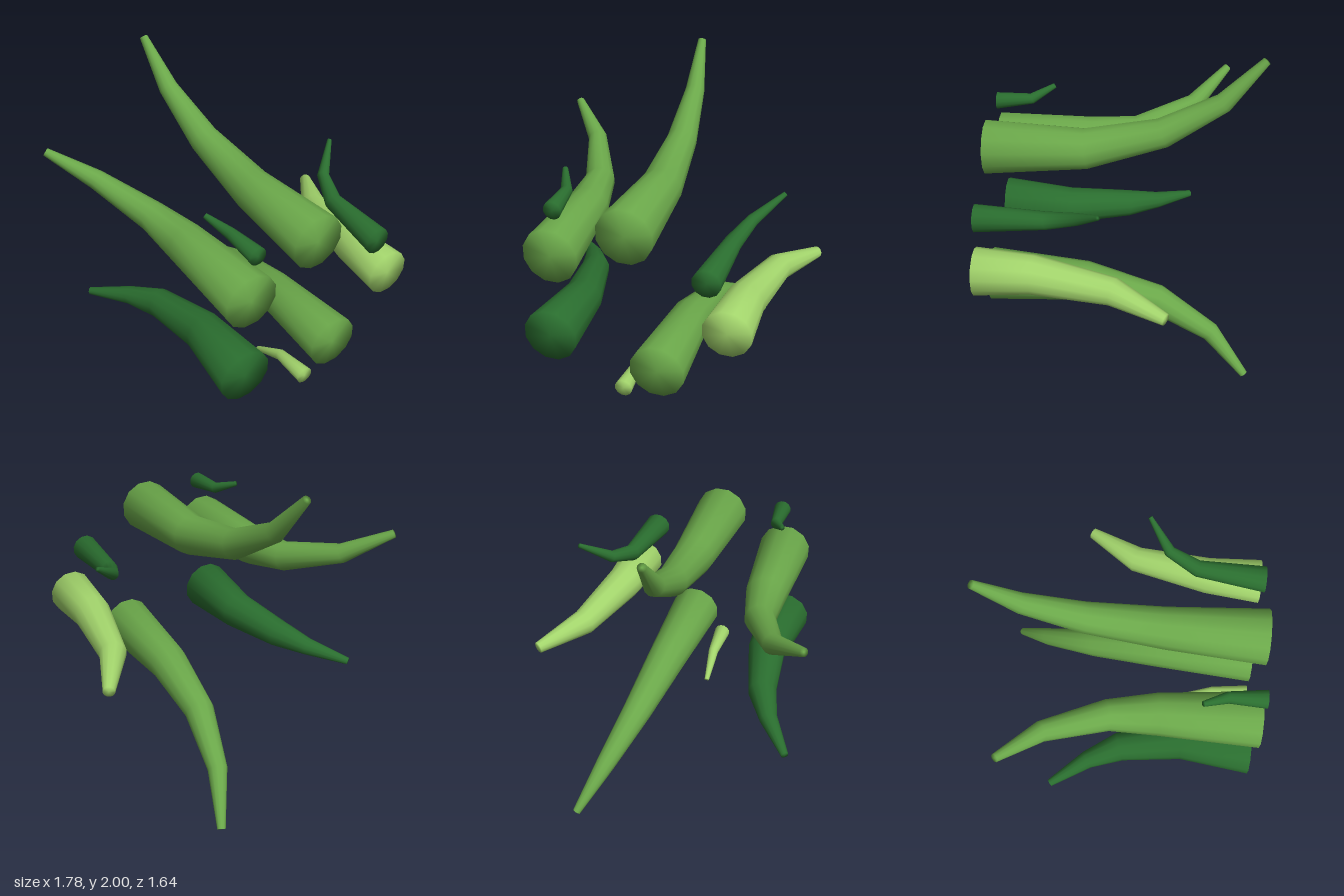
import * as THREE from 'three';

const SIDES = 12;

// Tapered tendril: rings [x, y, z, radius] from the flat base (facing +z) to the tip.
function tendrilGeometry(rings) {
  const pts = rings.map(r => new THREE.Vector3(r[0], r[1], r[2]));
  const pos = [], index = [];
  const back = new THREE.Vector3(0, 0, -1);
  const last = rings.length - 1;
  rings.forEach((ring, i) => {
    const dir = back.clone();
    if (i > 0) {
      dir.subVectors(pts[i], pts[i - 1]).normalize();
      if (i < last) dir.add(pts[i + 1].clone().sub(pts[i]).normalize()).normalize();
    }
    const turn = new THREE.Quaternion().setFromUnitVectors(back, dir);
    for (let j = 0; j < SIDES; j++) {
      const a = ((j + 0.5) / SIDES) * Math.PI * 2;
      const v = new THREE.Vector3(Math.cos(a), Math.sin(a), 0).multiplyScalar(ring[3]);
      v.applyQuaternion(turn).add(pts[i]);
      pos.push(v.x, v.y, v.z);
    }
  });
  // Cap centres share the rim vertices, so the ends shade softly
  const base = pos.length / 3, tip = base + 1;
  pos.push(...pts[0].toArray(), ...pts[last].toArray());
  for (let j = 0; j < SIDES; j++) {
    const k = (j + 1) % SIDES;
    for (let i = 0; i < last; i++) {
      const a = i * SIDES + j, b = i * SIDES + k;
      const c = a + SIDES, d = b + SIDES;
      index.push(a, c, b, b, c, d);
    }
    index.push(base, j, k);
    index.push(tip, last * SIDES + k, last * SIDES + j);
  }
  const geo = new THREE.BufferGeometry();
  geo.setAttribute('position', new THREE.Float32BufferAttribute(pos, 3));
  geo.setIndex(index);
  geo.computeVertexNormals();
  return geo;
}

export function createModel() {
  const group = new THREE.Group();
  group.name = 'tendrils';
  const material = (name, color) => {
    const m = new THREE.MeshStandardMaterial({ color });
    m.name = name;
    return m;
  };
  const mid = material('leafGreen', 0x6ba84a);
  const dark = material('darkGreen', 0x2a6e2f);
  const light = material('lightGreen', 0xa3d56c);

  const tendrils = [
    // Large tendrils
    ['topTendril', mid, [[0, 1.398, 0.82, 0.165], [0, 1.41, 0.22, 0.125],
      [-0.02, 1.525, -0.235, 0.092], [-0.045, 1.725, -0.58, 0.06], [-0.07, 1.985, -0.805, 0.025]]],
    ['lowerTendril', mid, [[0.175, 0.56, 0.82, 0.165], [0.188, 0.542, 0.22, 0.125],
      [0.228, 0.447, -0.235, 0.092], [0.315, 0.267, -0.58, 0.06], [0.43, 0.022, -0.805, 0.025]]],
    ['upperRightTendril', mid, [[-0.44, 1.2, 0.82, 0.165], [-0.465, 1.222, 0.22, 0.125],
      [-0.505, 1.255, -0.07, 0.092], [-0.665, 1.378, -0.425, 0.06], [-0.872, 1.538, -0.635, 0.025]]],
    ['lowerRightTendril', dark, [[-0.475, 0.663, 0.82, 0.165], [-0.462, 0.66, 0.38, 0.122],
      [-0.535, 0.645, 0, 0.09], [-0.63, 0.613, -0.2, 0.056], [-0.79, 0.567, -0.425, 0.023]]],
    // Medium tendrils
    ['leftTendril', light, [[0.575, 0.907, 0.82, 0.142], [0.587, 0.91, 0.48, 0.117],
      [0.677, 0.885, 0.01, 0.083], [0.858, 0.855, -0.295, 0.036]]],
    ['upperLeftTendril', dark, [[0.455, 1.2, 0.82, 0.082], [0.483, 1.223, 0.4, 0.053],
      [0.55, 1.29, 0.22, 0.037], [0.705, 1.42, 0.085, 0.014]]],
    // Small sprouts
    ['upperSprout', dark, [[-0.405, 1.49, 0.82, 0.053], [-0.418, 1.505, 0.6, 0.034],
      [-0.485, 1.567, 0.46, 0.016]]],
    ['lowerSprout', light, [[-0.03, 0.395, 0.82, 0.053], [-0.034, 0.384, 0.59, 0.034],
      [-0.05, 0.285, 0.39, 0.016]]],
  ];
  for (const [name, mat, rings] of tendrils) {
    const mesh = new THREE.Mesh(tendrilGeometry(rings), mat);
    mesh.name = name;
    group.add(mesh);
  }
  return group;
}
